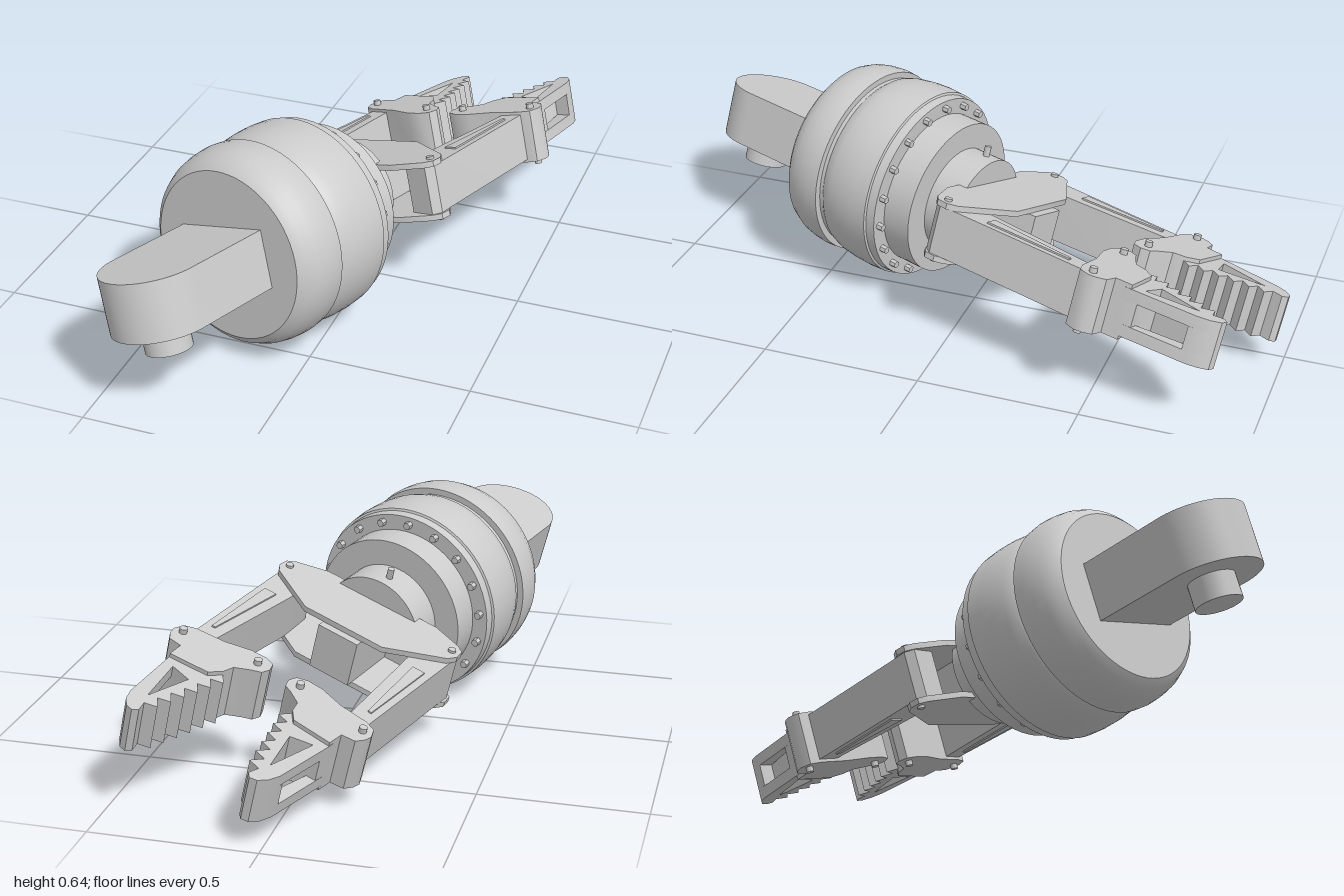
import * as THREE from 'three';
import { toCreasedNormals } from 'three/addons/utils/BufferGeometryUtils.js';

const material = new THREE.MeshStandardMaterial({ color: 0xcccccc });

// Plan coordinates are [sideways, forward]; forward is measured from the body's front face towards the fingertips.
const shapeOf = (pts, side = 1) => new THREE.Shape(pts.map(([a, f]) => new THREE.Vector2(a * side, f)));

function add(parent, name, geometry) {
  const mesh = new THREE.Mesh(geometry, material);
  mesh.name = name;
  parent.add(mesh);
  return mesh;
}

// Flat part cut from a plan shape, from height b0 to b1
function slab(parent, name, shape, b0, b1) {
  const g = new THREE.ExtrudeGeometry(shape, { depth: b1 - b0, bevelEnabled: false, curveSegments: 16 });
  g.rotateX(-Math.PI / 2);
  g.translate(0, b0, 0);
  return add(parent, name, toCreasedNormals(g, 0.6));
}

// Upright pin at plan position (a, f)
function pin(parent, name, a, f, r, b0, b1, sides = 12) {
  const g = new THREE.CylinderGeometry(r, r, b1 - b0, sides);
  g.translate(a, (b0 + b1) / 2, -f);
  return add(parent, name, toCreasedNormals(g, 0.8));
}

function buildBody(parent) {
  // Turned body: neck, collar, bolt flange, rear ring, groove, front bulge, flat face
  const profile = [
    [0, -0.59], [0.168, -0.59], [0.168, -0.48], [0.25, -0.48], [0.25, -0.385], [0.3, -0.385], [0.302, -0.355],
    [0.309, -0.352], [0.312, -0.3], [0.31, -0.25], [0.304, -0.205], [0.295, -0.175], [0.287, -0.165],
    [0.287, -0.152], [0.307, -0.152], [0.31, -0.12], [0.307, -0.085], [0.3, -0.052], [0.285, -0.02],
    [0.262, 0], [0, 0],
  ].map(([r, c]) => new THREE.Vector2(r, c));
  const g = new THREE.LatheGeometry(profile, 64);
  g.rotateX(Math.PI / 2);
  add(parent, 'body', toCreasedNormals(g, 0.5));

  // Hex bolts around the flange
  const count = 18;
  for (let i = 0; i < count; i++) {
    const t = (i / count) * Math.PI * 2;
    const bolt = new THREE.CylinderGeometry(0.012, 0.012, 0.03, 6);
    bolt.rotateX(Math.PI / 2);
    bolt.translate(Math.cos(t) * 0.277, Math.sin(t) * 0.277, -0.39);
    add(parent, 'flangeBolt', bolt.toNonIndexed()).geometry.computeVertexNormals();
  }
}

function buildMount(parent) {
  // Round-ended mounting arm with a peg underneath
  const w = 0.153, end = -0.298;
  const s = new THREE.Shape();
  s.moveTo(w, 0.03);
  s.lineTo(-w, 0.03);
  s.lineTo(-w, end);
  s.absarc(0, end, w, Math.PI, Math.PI * 2, false);
  s.lineTo(w, 0.03);
  slab(parent, 'mountArm', s, -0.089, 0.089);
  pin(parent, 'mountPeg', 0, end, 0.07, -0.165, -0.08, 32);
}

function buildPalm(parent) {
  // Pair of hexagonal plates joined by a centre block
  const half = [[0.2, 0.56], [0.3, 0.595], [0.325, 0.615], [0.328, 0.65], [0.31, 0.68], [0.14, 0.785]];
  const outline = [...half, ...half.map(([a, f]) => [-a, f]).reverse()];
  for (const up of [1, -1]) {
    const [b0, b1] = up > 0 ? [0.076, 0.094] : [-0.094, -0.076];
    slab(parent, 'palmPlate', shapeOf(outline), b0, b1);
  }
  slab(parent, 'palmBlock', shapeOf([[-0.07, 0.57], [0.07, 0.57], [0.07, 0.81], [-0.07, 0.81]]), -0.076, 0.076);
  pin(parent, 'neckPin', 0, 0.545, 0.011, -0.2, 0.2, 8);
}

// Finger outline with a row of teeth along the gripping edge
function fingerOutline(notched) {
  const a0 = [0.122, 1.235], a1 = [0.195, 1.51], n = 6, depth = 0.032;
  const teeth = [];
  for (let i = 0; i < n; i++) {
    const at = (t) => [a0[0] + (a1[0] - a0[0]) * t, a0[1] + (a1[1] - a0[1]) * t];
    const [x, y] = at((i + 0.55) / n);
    teeth.push(at(i / n), [x - depth, y + depth * 0.27]);
  }
  const notch = notched ? [[0.259, 1.475], [0.21, 1.475], [0.176, 1.33], [0.244, 1.313], [0.275, 1.313]] : [];
  return [
    [0.2, 1.2], [0.12, 1.2], ...teeth, a1, [0.186, 1.545], [0.2, 1.56], [0.222, 1.555], [0.243, 1.53],
    [0.256, 1.493], ...notch, [0.28, 1.28], [0.28, 1.2],
  ];
}

function buildJaw(root, side) {
  const jaw = new THREE.Group();
  jaw.name = side > 0 ? 'leftJaw' : 'rightJaw';
  root.add(jaw);

  // Link from palm to finger, with a raised rib on both faces
  const link = [[0.22, 0.61], [0.3, 0.6], [0.32, 0.625], [0.318, 0.67], [0.305, 1.16], [0.24, 1.13], [0.212, 0.75]];
  slab(jaw, 'link', shapeOf(link, side), -0.076, 0.076);
  slab(jaw, 'linkRib', shapeOf([[0.25, 0.78], [0.292, 0.78], [0.284, 1.07], [0.272, 1.07]], side), -0.081, 0.081);

  // Finger: windowed upper and lower layers around a middle layer open to the outside
  for (const [b0, b1] of [[0.036, 0.073], [-0.073, -0.036]]) {
    const s = shapeOf(fingerOutline(false), side);
    s.holes.push(shapeOf([[0.21, 1.475], [0.176, 1.33], [0.244, 1.313]], side));
    slab(jaw, 'finger', s, b0, b1);
  }
  slab(jaw, 'fingerCore', shapeOf(fingerOutline(true), side), -0.036, 0.036);

  // Knuckle with a rounded inner lobe
  const knuckle = [
    [0.3, 1.125], [0.335, 1.14], [0.348, 1.175], [0.342, 1.2], [0.325, 1.225], [0.282, 1.23], [0.278, 1.285],
    [0.15, 1.275], [0.122, 1.24], [0.112, 1.2], [0.07, 1.172], [0.042, 1.158], [0.032, 1.13],
    [0.042, 1.1], [0.075, 1.088], [0.125, 1.09], [0.205, 1.115],
  ];
  slab(jaw, 'knuckle', shapeOf(knuckle, side), -0.086, 0.086);

  // Pivot bolts
  for (const [a, f] of [[0.3, 0.635], [0.075, 1.132], [0.316, 1.172]]) {
    pin(jaw, 'pivotBolt', a * side, f, 0.012, -0.102, 0.102);
  }
}

export function createModel() {
  const model = new THREE.Group();
  model.name = 'gripperArm';
  const tilted = new THREE.Group();
  tilted.name = 'tiltedAssembly';
  tilted.rotation.set(-0.08, -0.3, 0.285, 'YXZ');
  tilted.position.set(-0.235, 0.338, 0.55);
  model.add(tilted);

  buildBody(tilted);
  buildMount(tilted);
  buildPalm(tilted);
  for (const side of [1, -1]) buildJaw(tilted, side);
  return model;
}
